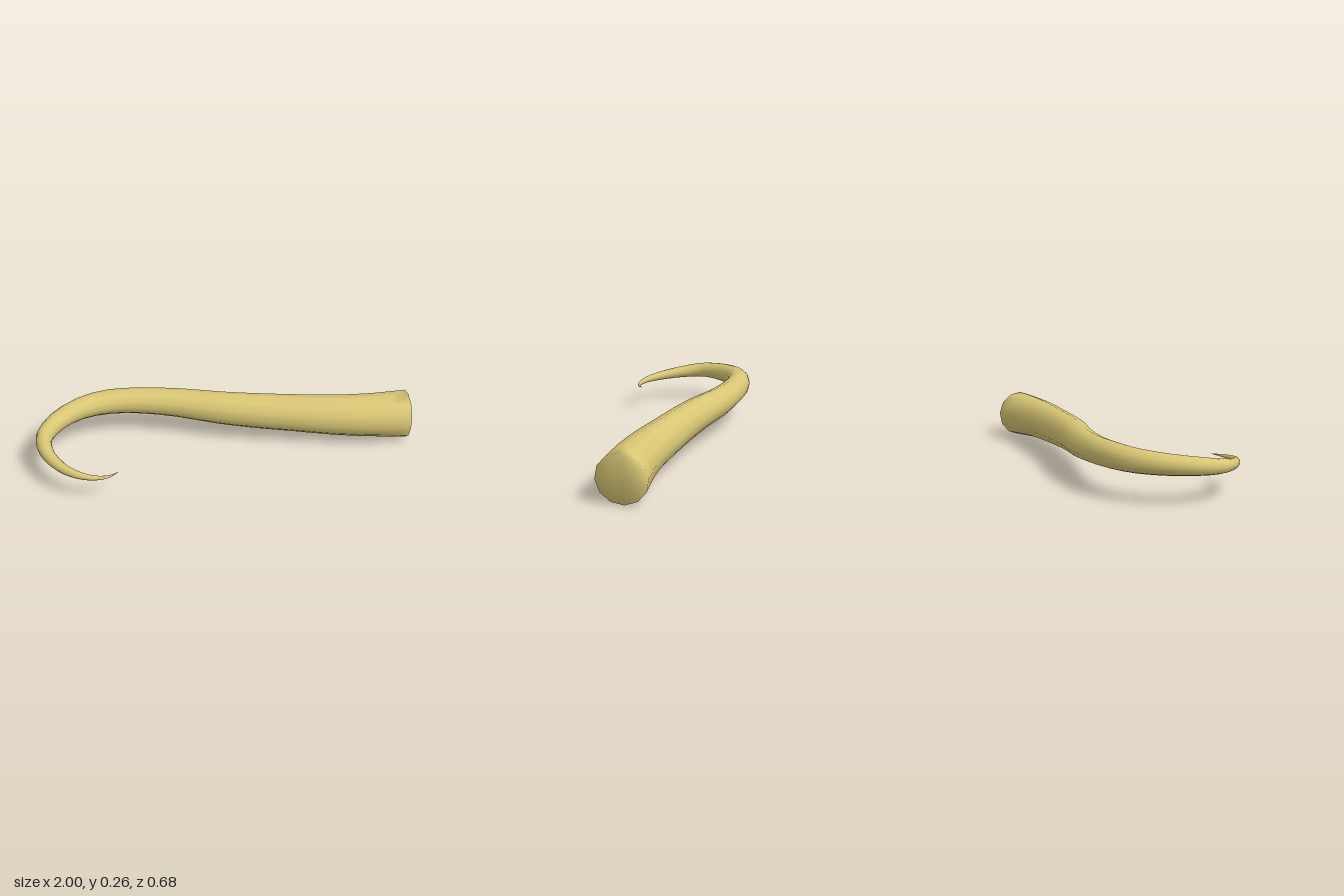
import * as THREE from 'three';

// Centreline stations from the thick base to the tip: x, y, z, radius
const STATIONS = [
  [0.995, 0.13, 0.048, 0.129],
  [0.8, 0.139, 0.038, 0.118],
  [0.6, 0.147, 0.01, 0.109],
  [0.4, 0.156, -0.035, 0.101],
  [0.2, 0.165, -0.082, 0.095],
  [0, 0.174, -0.139, 0.088],
  [-0.2, 0.183, -0.213, 0.079],
  [-0.4, 0.192, -0.262, 0.071],
  [-0.58, 0.198, -0.277, 0.067],
  [-0.74, 0.196, -0.243, 0.06],
  [-0.87, 0.191, -0.15, 0.052],
  [-0.947, 0.184, -0.03, 0.044],
  [-0.948, 0.171, 0.08, 0.037],
  [-0.91, 0.16, 0.175, 0.03],
  [-0.853, 0.152, 0.25, 0.024],
  [-0.78, 0.146, 0.305, 0.017],
  [-0.705, 0.142, 0.327, 0.011],
  [-0.645, 0.141, 0.321, 0.006],
  [-0.605, 0.143, 0.298, 0.001],
];
const SIDES = 12;
const RINGS = (STATIONS.length - 1) * 2;
const TWIST = 0.08;

// Tapered tube swept along the centreline, closed at both ends
function sweptTentacle() {
  const path = new THREE.CatmullRomCurve3(
    STATIONS.map(([x, y, z]) => new THREE.Vector3(x, y, z)), false, 'catmullrom', 0.5);
  const radii = new THREE.CatmullRomCurve3(
    STATIONS.map((s) => new THREE.Vector3(s[3], 0, 0)), false, 'catmullrom', 0.5);
  const positions = [];
  const indices = [];
  const worldUp = new THREE.Vector3(0, 1, 0);

  for (let i = 0; i <= RINGS; i++) {
    const t = i / RINGS;
    const centre = path.getPoint(t);
    const tangent = path.getTangent(t);
    const r = radii.getPoint(t).x;
    const side = new THREE.Vector3().crossVectors(tangent, worldUp).normalize();
    const up = new THREE.Vector3().crossVectors(side, tangent);
    for (let j = 0; j < SIDES; j++) {
      const a = (j / SIDES) * Math.PI * 2 - TWIST;
      const p = centre.clone()
        .addScaledVector(up, Math.cos(a) * r)
        .addScaledVector(side, Math.sin(a) * r);
      positions.push(p.x, p.y, p.z);
    }
  }
  for (let i = 0; i < RINGS; i++) {
    for (let j = 0; j < SIDES; j++) {
      const a = i * SIDES + j;
      const b = i * SIDES + (j + 1) % SIDES;
      indices.push(a, b, a + SIDES, b, b + SIDES, a + SIDES);
    }
  }
  // End caps share the rim vertices so the shading rolls over the edge
  const last = RINGS * SIDES;
  for (let j = 1; j < SIDES - 1; j++) {
    indices.push(0, j + 1, j);
    indices.push(last, last + j, last + j + 1);
  }

  const geometry = new THREE.BufferGeometry();
  geometry.setAttribute('position', new THREE.Float32BufferAttribute(positions, 3));
  geometry.setIndex(indices);
  geometry.computeVertexNormals();
  return geometry;
}

export function createModel() {
  const group = new THREE.Group();
  group.name = 'curledTentacle';
  const tentacle = new THREE.Mesh(
    sweptTentacle(), new THREE.MeshStandardMaterial({ color: 0xd9c775 }));
  tentacle.name = 'tentacle';
  group.add(tentacle);
  return group;
}
